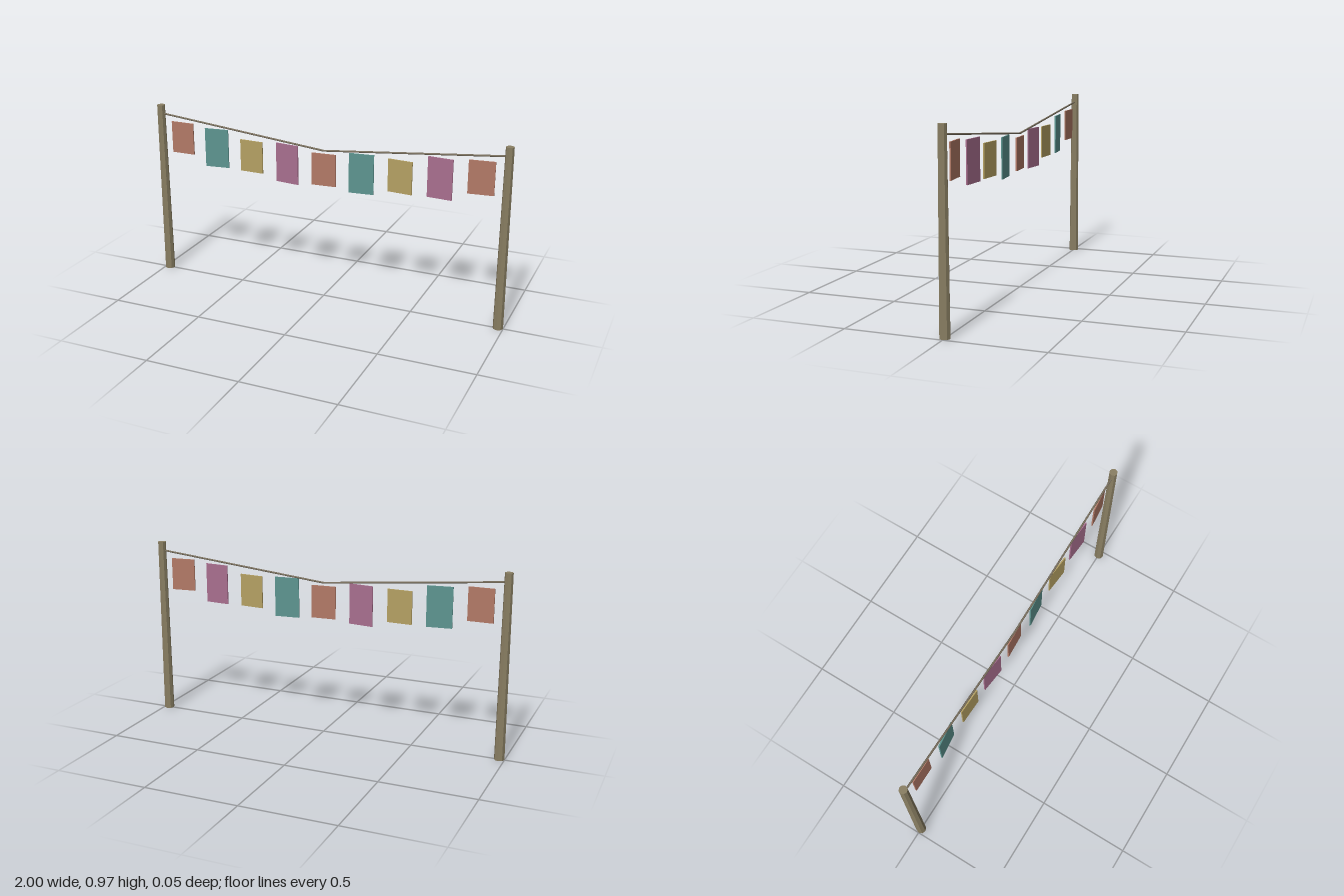
import * as THREE from 'three';

const material = (name, color) => {
  const m = new THREE.MeshStandardMaterial({ color });
  m.name = name;
  return m;
};

export function createModel() {
  const model = new THREE.Group();
  model.name = 'flagLine';

  const wood = material('weathered wood', 0x8a7f63);
  const cord = material('cord', 0x7c7260);
  wood.flatShading = true;
  const cloth = [
    material('terracotta cloth', 0xb27a67),
    material('teal cloth', 0x5d9590),
    material('ochre cloth', 0xb5a163),
    material('mauve cloth', 0xa96f8f),
  ];

  const add = (name, geometry, mat) => {
    const mesh = new THREE.Mesh(geometry, mat);
    mesh.name = name;
    model.add(mesh);
    return mesh;
  };

  // Tapered posts and the two straight halves of the sagging rope
  const middle = new THREE.Vector3(0, 0.83, 0);
  for (const [side, s] of [['left', 1], ['right', -1]]) {
    add(side + 'Post', new THREE.CylinderGeometry(0.0215, 0.027, 0.972, 8), wood)
      .position.set(s * 0.973, 0.486, 0);

    const end = new THREE.Vector3(s * 0.973, 0.925, 0);
    const span = end.clone().sub(middle);
    const rope = add(side + 'Rope', new THREE.CylinderGeometry(0.005, 0.005, span.length(), 6), cord);
    rope.position.copy(middle).add(end).multiplyScalar(0.5);
    rope.quaternion.setFromUnitVectors(new THREE.Vector3(0, 1, 0), span.normalize());
  }

  // Cloth flags, short and long by turns, each twisted a little in the wind
  const tops = [0.885, 0.872, 0.832, 0.838, 0.813, 0.838, 0.832, 0.872, 0.885];
  tops.forEach((top, i) => {
    const height = i % 2 ? 0.214 : 0.175;
    const flag = add('flag' + (i + 1), new THREE.BoxGeometry(0.133, height, 0.007), cloth[i % 4]);
    flag.position.set((i - 4) * 0.2105, top - height / 2, 0);
    flag.rotation.y = Math.sin(i * 1.7) * 0.12;
  });

  return model;
}
